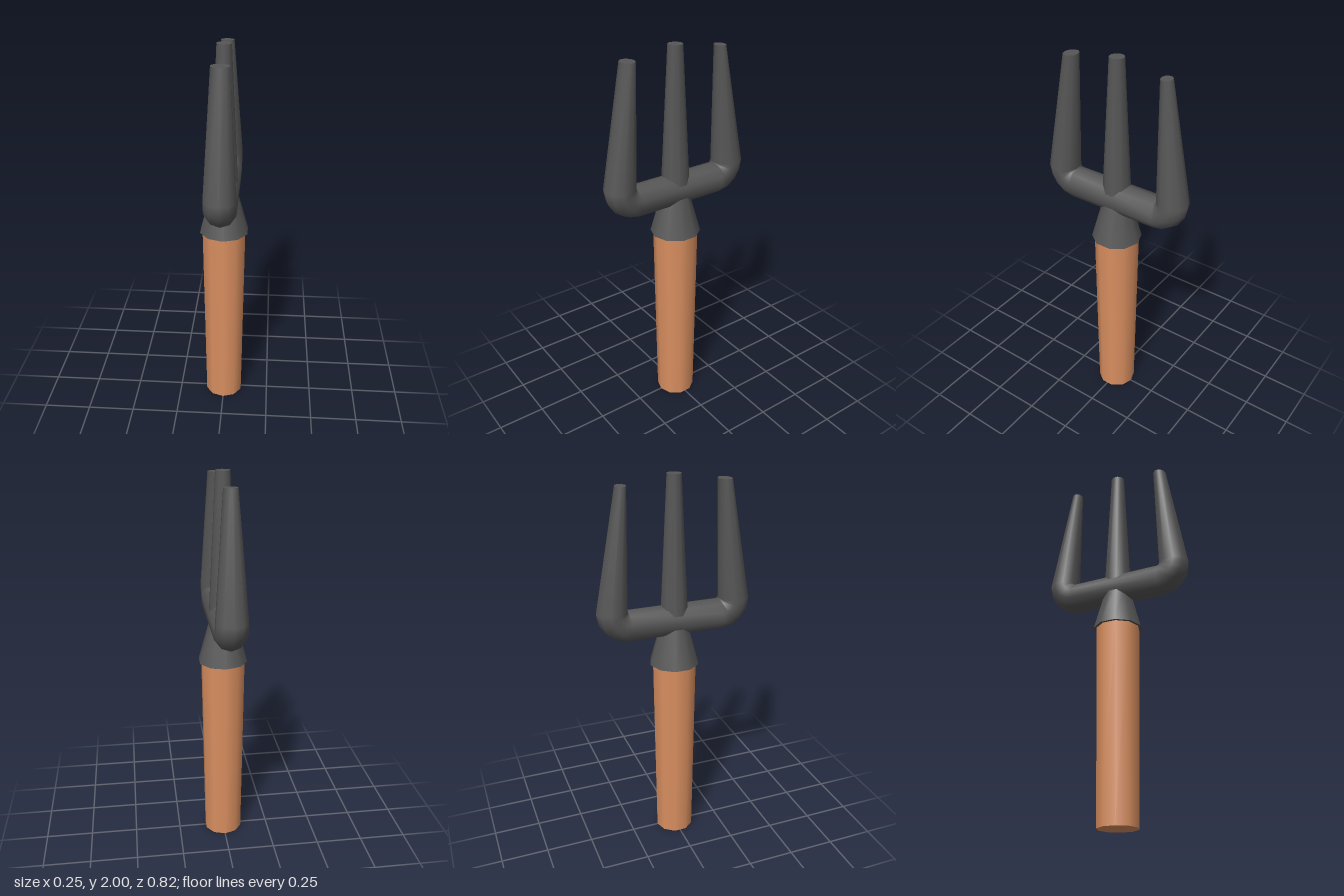
import * as THREE from 'three';

const SIDES = 10;

// Tapered ten-sided round bar standing between two heights
function taper(name, material, y0, y1, r0, r1) {
  const geometry = new THREE.CylinderGeometry(r1, r0, y1 - y0, SIDES);
  const mesh = new THREE.Mesh(geometry, material);
  mesh.name = name;
  mesh.position.y = (y0 + y1) / 2;
  return mesh;
}

// Skins a list of rings { z, y, angle, rx, rn } and caps both ends
function skinRings(rings) {
  const positions = [], indices = [];
  const addRing = ({ z, y, angle, rx, rn }) => {
    const start = positions.length / 3;
    for (let j = 0; j < SIDES; j++) {
      const a = (j / SIDES) * Math.PI * 2;
      const n = rn * Math.cos(a);
      positions.push(rx * Math.sin(a), y - n * Math.sin(angle), z + n * Math.cos(angle));
    }
    return start;
  };
  const starts = rings.map(addRing);
  for (let i = 0; i < starts.length - 1; i++) {
    for (let j = 0; j < SIDES; j++) {
      const k = (j + 1) % SIDES;
      const a = starts[i] + j, b = starts[i] + k, c = starts[i + 1] + j, d = starts[i + 1] + k;
      indices.push(a, c, b, b, c, d);
    }
  }
  // Flat end caps with their own vertices
  const first = addRing(rings[0]), last = addRing(rings[rings.length - 1]);
  for (let j = 1; j < SIDES - 1; j++) {
    indices.push(first, first + j, first + j + 1);
    indices.push(last, last + j + 1, last + j);
  }
  const geometry = new THREE.BufferGeometry();
  geometry.setAttribute('position', new THREE.Float32BufferAttribute(positions, 3));
  geometry.setIndex(indices);
  geometry.computeVertexNormals();
  return geometry;
}

export function createModel() {
  const metal = new THREE.MeshStandardMaterial({ color: 0x565656 });
  metal.name = 'dark metal';
  const wood = new THREE.MeshStandardMaterial({ color: 0xd98f60 });
  wood.name = 'wood';

  const group = new THREE.Group();
  group.name = 'handFork';

  // Handle, collar and middle prong
  group.add(taper('handle', wood, 0, 1.035, 0.103, 0.116));
  group.add(taper('collar', metal, 1.03, 1.25, 0.13, 0.07));
  group.add(taper('middleProng', metal, 1.24, 2, 0.075, 0.037));

  // Outer prongs and crossbar: one bar bent around two inner corners
  const r = 0.081, pivotZ = 0.246, pivotY = 1.35, steps = 4;
  const rings = [{ z: 0.262, y: 1.96, angle: 0, rx: 0.045, rn: 0.036 }];
  for (const side of [1, -1]) {
    for (let i = 0; i <= steps; i++) {
      const angle = ((side > 0 ? 0 : 1) + i / steps) * Math.PI / 2;
      rings.push({
        z: side * pivotZ + r * Math.cos(angle),
        y: pivotY - r * Math.sin(angle),
        angle, rx: r, rn: r,
      });
    }
  }
  rings.push({ z: -0.264, y: 1.96, angle: Math.PI, rx: 0.035, rn: 0.028 });
  const outer = new THREE.Mesh(skinRings(rings), metal);
  outer.name = 'outerProngsAndCrossbar';
  group.add(outer);

  return group;
}
